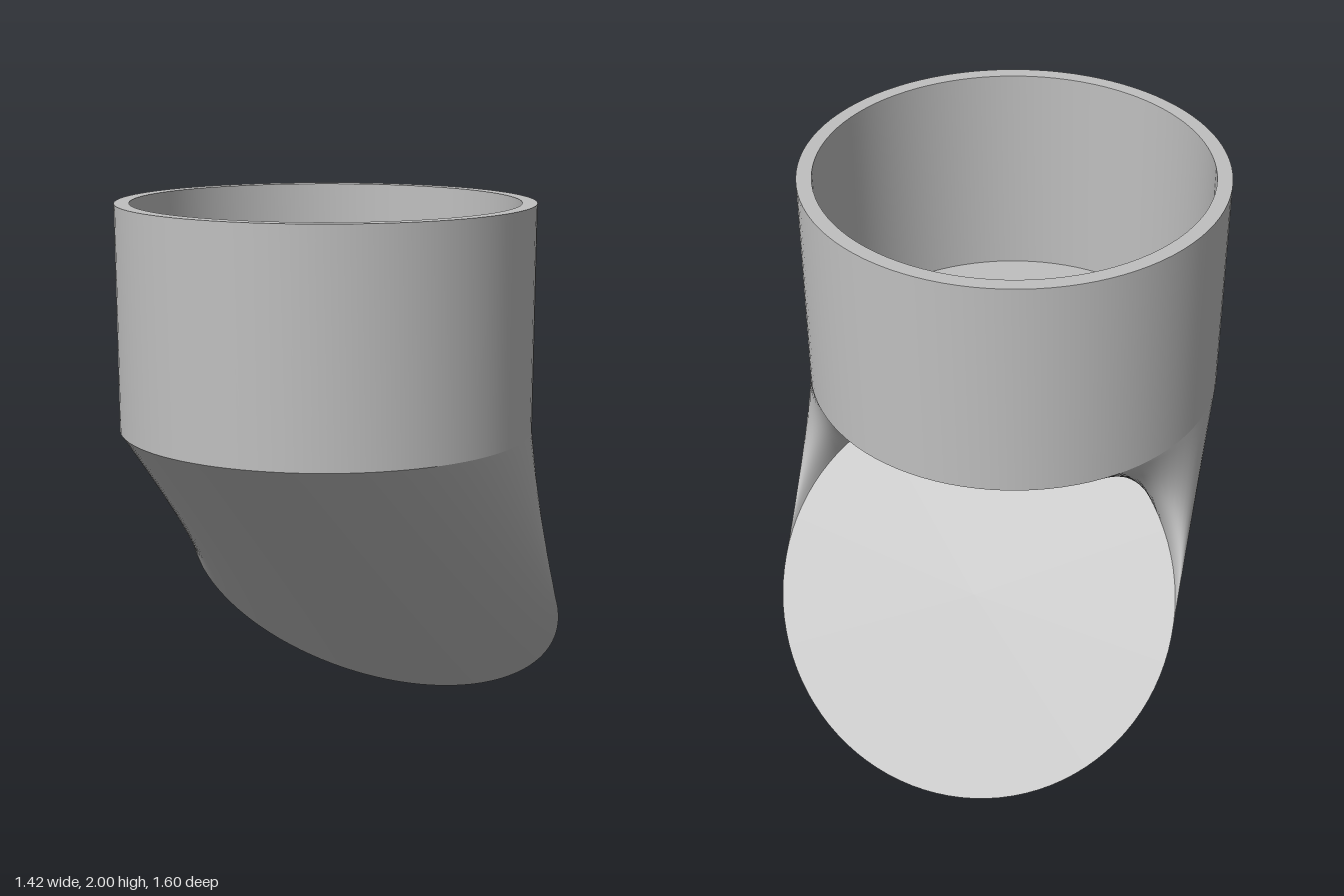
import * as THREE from 'three';
import { toCreasedNormals } from 'three/addons/utils/BufferGeometryUtils.js';

const SIDES = 96;
const CUP = { radius: 0.7, inner: 0.65, base: 1.24, top: 2, z: 0.1 };
const DISC = { radius: 0.708, y: 0.555, z: -0.36, tilt: Math.atan2(0.555, 0.44) };

// Ruled surface from the cup's lower rim to the tilted disc's rim
function loftGeometry(rows) {
  const positions = [], index = [];
  const p = new THREE.Vector3(), q = new THREE.Vector3();
  for (let j = 0; j <= rows; j++) {
    for (let i = 0; i < SIDES; i++) {
      const a = (i / SIDES) * Math.PI * 2, s = Math.sin(a), c = Math.cos(a);
      p.set(CUP.radius * s, CUP.base, CUP.z + CUP.radius * c);
      q.set(
        DISC.radius * s,
        DISC.y - DISC.radius * Math.sin(DISC.tilt) * c,
        DISC.z - DISC.radius * Math.cos(DISC.tilt) * c
      );
      p.lerp(q, j / rows);
      positions.push(p.x, p.y, p.z);
      if (j < rows) {
        const n = (i + 1) % SIDES, top = j * SIDES, low = top + SIDES;
        index.push(top + i, low + i, low + n, top + i, low + n, top + n);
      }
    }
  }
  const g = new THREE.BufferGeometry();
  g.setAttribute('position', new THREE.Float32BufferAttribute(positions, 3));
  g.setIndex(index);
  g.computeVertexNormals();
  return g;
}

export function createModel() {
  const group = new THREE.Group();
  group.name = 'angledSocket';
  const grey = new THREE.MeshStandardMaterial({ color: 0xc0c0c0 });
  grey.name = 'lightGrey';

  const add = (name, geometry) => {
    const mesh = new THREE.Mesh(geometry, grey);
    mesh.name = name;
    group.add(mesh);
    return mesh;
  };

  // Open cup with a flat floor
  const profile = [
    [CUP.radius, CUP.base], [CUP.radius, CUP.top], [CUP.inner, CUP.top],
    [CUP.inner, CUP.base], [0, CUP.base],
  ].map(([x, y]) => new THREE.Vector2(x, y));
  const cup = add('cup', toCreasedNormals(new THREE.LatheGeometry(profile, SIDES), 0.6));
  cup.position.z = CUP.z;

  // Twisting neck below the cup
  add('neck', loftGeometry(24));

  // Flat mounting face, leaning up and back
  const face = add('mountingFace', new THREE.CircleGeometry(DISC.radius, SIDES));
  face.rotation.x = Math.atan2(-Math.cos(DISC.tilt), -Math.sin(DISC.tilt));
  face.position.set(0, DISC.y, DISC.z);

  return group;
}
